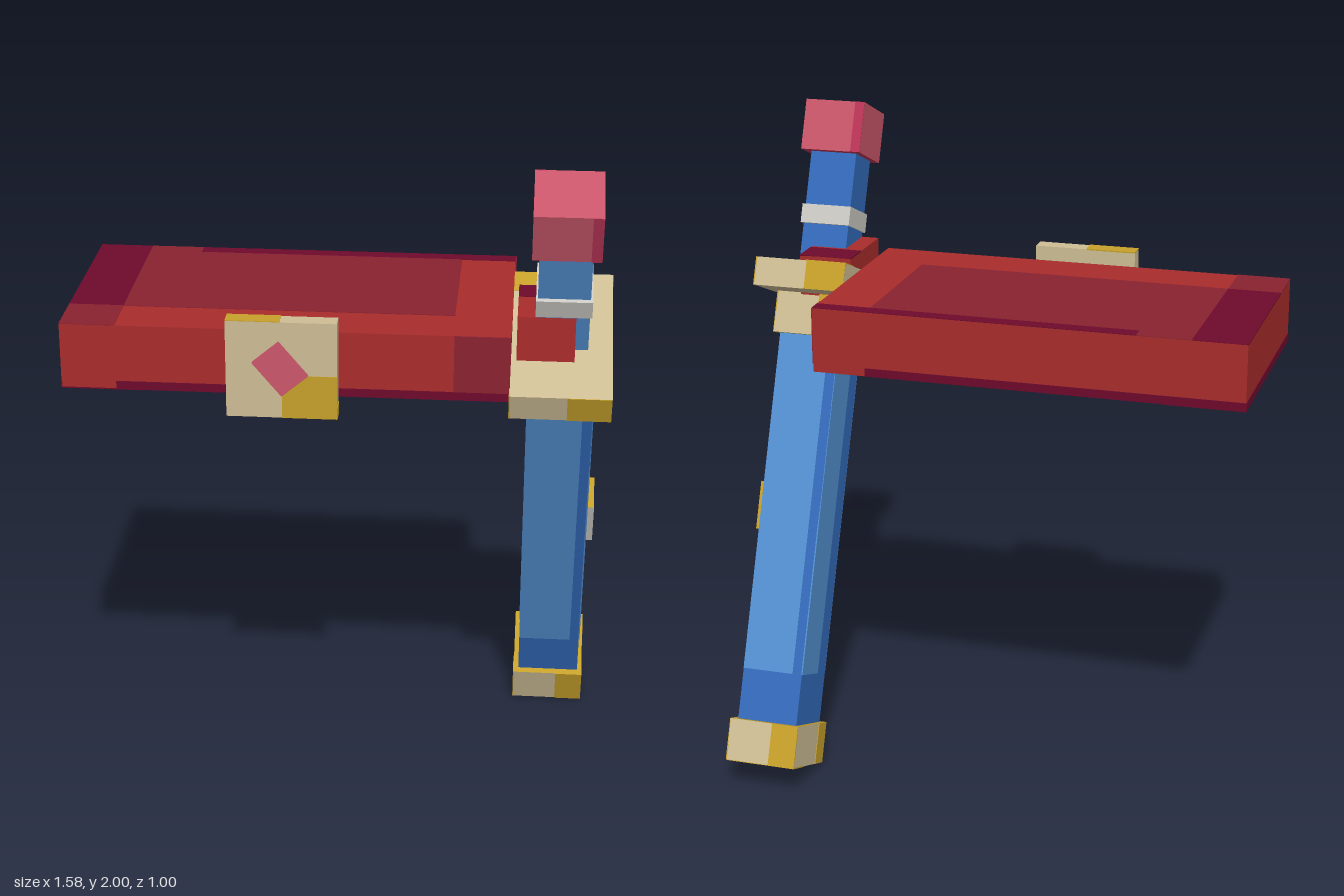
import * as THREE from 'three';

const mat = (name, color) => {
  const m = new THREE.MeshStandardMaterial({ color });
  m.name = name;
  return m;
};

export function createModel() {
  const red = mat('red', 0xa82c2c), wine = mat('wine', 0x8a2230), maroon = mat('maroon', 0x6e0a2c);
  const cream = mat('cream', 0xcdbd94), gold = mat('gold', 0xc6a02a), silver = mat('silver', 0xcac8c2);
  const blue = mat('blue', 0x3369ba), sky = mat('light blue', 0x5290d0);
  const crimson = mat('crimson', 0xbc3458), pink = mat('pink', 0xca566a);

  // Box from bounds [x0, x1, y0, y1, z0, z1]; six materials run +x -x +y -y +z -z
  const block = (parent, name, b, material) => {
    const geo = new THREE.BoxGeometry(b[1] - b[0], b[3] - b[2], b[5] - b[4]);
    const mesh = new THREE.Mesh(geo, material);
    mesh.position.set((b[0] + b[1]) / 2, (b[2] + b[3]) / 2, (b[4] + b[5]) / 2);
    mesh.name = name;
    parent.add(mesh);
    return mesh;
  };

  // Thin painted plate on one face of a box; ranges override the box bounds
  const T = 0.002;
  const patch = (parent, name, b, face, ranges, material) => {
    const p = b.slice();
    'xyz'.split('').forEach((axis, i) => {
      if (ranges[axis]) [p[2 * i], p[2 * i + 1]] = ranges[axis];
    });
    const i = 'xyz'.indexOf(face[1]) * 2;
    const at = face[0] === '+' ? b[i + 1] : b[i];
    p[i] = at - T;
    p[i + 1] = at + T;
    return block(parent, name, p, material);
  };

  // Band along the right-hand edge of each of the four sides
  const sideBands = (parent, name, b, wx, wz, material) => {
    patch(parent, name, b, '+z', { x: [b[1] - wx, b[1]] }, material);
    patch(parent, name, b, '-z', { x: [b[0], b[0] + wx] }, material);
    patch(parent, name, b, '+x', { z: [b[4], b[4] + wz] }, material);
    patch(parent, name, b, '-x', { z: [b[5] - wz, b[5]] }, material);
  };

  const model = new THREE.Group();
  model.name = 'beltAndSheathedSword';

  // Belt
  const belt = new THREE.Group();
  belt.name = 'belt';
  model.add(belt);
  const B = [-0.79, 0.5, 1.33, 1.525, -0.32, 0.37];
  block(belt, 'strap', B, [red, red, red, wine, red, red]);
  patch(belt, 'strapTopCentre', B, '+y', { x: [-0.63, 0.335], z: [-0.275, 0.21] }, wine);
  patch(belt, 'strapTopCorner', B, '+y', { x: [-0.63, -0.47], z: [-0.32, -0.275] }, wine);
  patch(belt, 'strapTopFrontCorner', B, '+y', { x: [-0.79, -0.63], z: [0.21, 0.37] }, wine);
  patch(belt, 'strapTopEnd', B, '+y', { x: [-0.79, -0.63], z: [-0.32, 0.21] }, maroon);
  patch(belt, 'strapTopBackEdge', B, '+y', { x: [-0.47, 0.5], z: [-0.32, -0.275] }, maroon);
  patch(belt, 'strapFrontEnd', B, '+z', { x: [0.34, 0.5], y: [1.355, 1.525] }, wine);
  patch(belt, 'strapFrontHem', B, '+z', { x: [-0.63, 0.5], y: [1.33, 1.355] }, maroon);
  patch(belt, 'strapBackHem', B, '-z', { x: [-0.79, 0.34], y: [1.33, 1.355] }, maroon);
  patch(belt, 'strapLeftEnd', B, '+x', { y: [1.355, 1.525], z: [-0.32, -0.245] }, wine);
  patch(belt, 'strapLeftHem', B, '+x', { y: [1.33, 1.355], z: [-0.285, 0.37] }, maroon);
  patch(belt, 'strapRightHem', B, '-x', { y: [1.33, 1.355] }, maroon);
  patch(belt, 'strapUnderEnd', B, '-y', { x: [-0.79, -0.55] }, maroon);

  // Buckle with its gem
  const K = [-0.305, 0.012, 1.28, 1.57, 0.37, 0.422];
  block(belt, 'buckle', K, [cream, cream, cream, gold, cream, cream]);
  patch(belt, 'buckleFrontCorner', K, '+z', { x: [-0.145, 0.012], y: [1.28, 1.41] }, gold);
  patch(belt, 'buckleTopHalf', K, '+y', { x: [-0.305, -0.15] }, gold);
  patch(belt, 'buckleSideFoot', K, '+x', { y: [1.28, 1.315] }, gold);
  const gem = block(belt, 'buckleGem', [-0.214, -0.084, 1.383, 1.481, 0.41, 0.437], pink);
  gem.rotation.z = -0.87;

  // Loop that holds the sheath on the belt
  const L = [0.515, 0.68, 1.28, 1.57, 0.06, 0.32];
  block(belt, 'sheathLoop', L, [red, red, red, maroon, red, red]);
  patch(belt, 'sheathLoopTop', L, '+y', { z: [0.06, 0.155] }, maroon);
  patch(belt, 'sheathLoopHem', L, '+z', { y: [1.28, 1.31] }, maroon);

  // Sword and sheath, leaning forward; local y runs along the blade
  const sword = new THREE.Group();
  sword.name = 'sheathedSword';
  sword.position.set(0, 1, 0);
  sword.rotation.x = Math.PI / 8;
  model.add(sword);

  // Sheath
  const S = [0.55, 0.742, -0.9, 0.315, -0.095, 0.118];
  block(sword, 'sheath', S, blue);
  const y = [-0.735, 0.315];
  patch(sword, 'sheathFrontPanel', S, '+z', { x: [0.55, 0.712], y }, sky);
  patch(sword, 'sheathBackPanel', S, '-z', { x: [0.58, 0.742], y }, sky);
  patch(sword, 'sheathLeftPanel', S, '+x', { z: [-0.022, 0.118], y }, sky);
  patch(sword, 'sheathRightPanel', S, '-x', { z: [-0.095, 0.045], y }, sky);

  // Plate on the sheath
  block(sword, 'sheathPlate', [0.74, 0.765, -0.303, -0.153, -0.06, 0.067],
    [silver, silver, gold, silver, silver, gold]);

  // Metal tip and throat of the sheath
  const tip = [0.535, 0.757, -1.02, -0.892, -0.119, 0.137];
  block(sword, 'sheathTip', tip, [cream, cream, gold, cream, cream, cream]);
  sideBands(sword, 'sheathTipBand', tip, 0.085, 0.066, gold);
  patch(sword, 'sheathTipUnder', tip, '-y', { z: [-0.119, -0.03] }, gold);
  const throat = [0.535, 0.757, 0.312, 0.442, -0.115, 0.14];
  block(sword, 'sheathThroat', throat, [cream, cream, cream, gold, cream, cream]);
  sideBands(sword, 'sheathThroatBand', throat, 0.085, 0.085, gold);

  // Cross guard
  const G = [0.5, 0.788, 0.44, 0.527, -0.245, 0.274];
  block(sword, 'guard', G, cream);
  sideBands(sword, 'guardBand', G, 0.125, 0.03, gold);
  patch(sword, 'guardTopCorner', G, '+y', { x: [0.5, 0.63], z: [-0.245, -0.165] }, gold);

  // Grip, ring and pommel
  block(sword, 'grip', [0.57, 0.718, 0.52, 0.9, -0.06, 0.077], [blue, blue, blue, blue, sky, blue]);
  block(sword, 'gripRing', [0.565, 0.724, 0.663, 0.722, -0.072, 0.09], silver);
  const P = [0.55, 0.742, 0.89, 1.047, -0.09, 0.107];
  block(sword, 'pommel', P, [crimson, pink, pink, crimson, pink, pink]);
  patch(sword, 'pommelFrontBand', P, '+z', { x: [0.712, 0.742] }, crimson);
  patch(sword, 'pommelBackBand', P, '-z', { x: [0.55, 0.58] }, crimson);

  return model;
}
